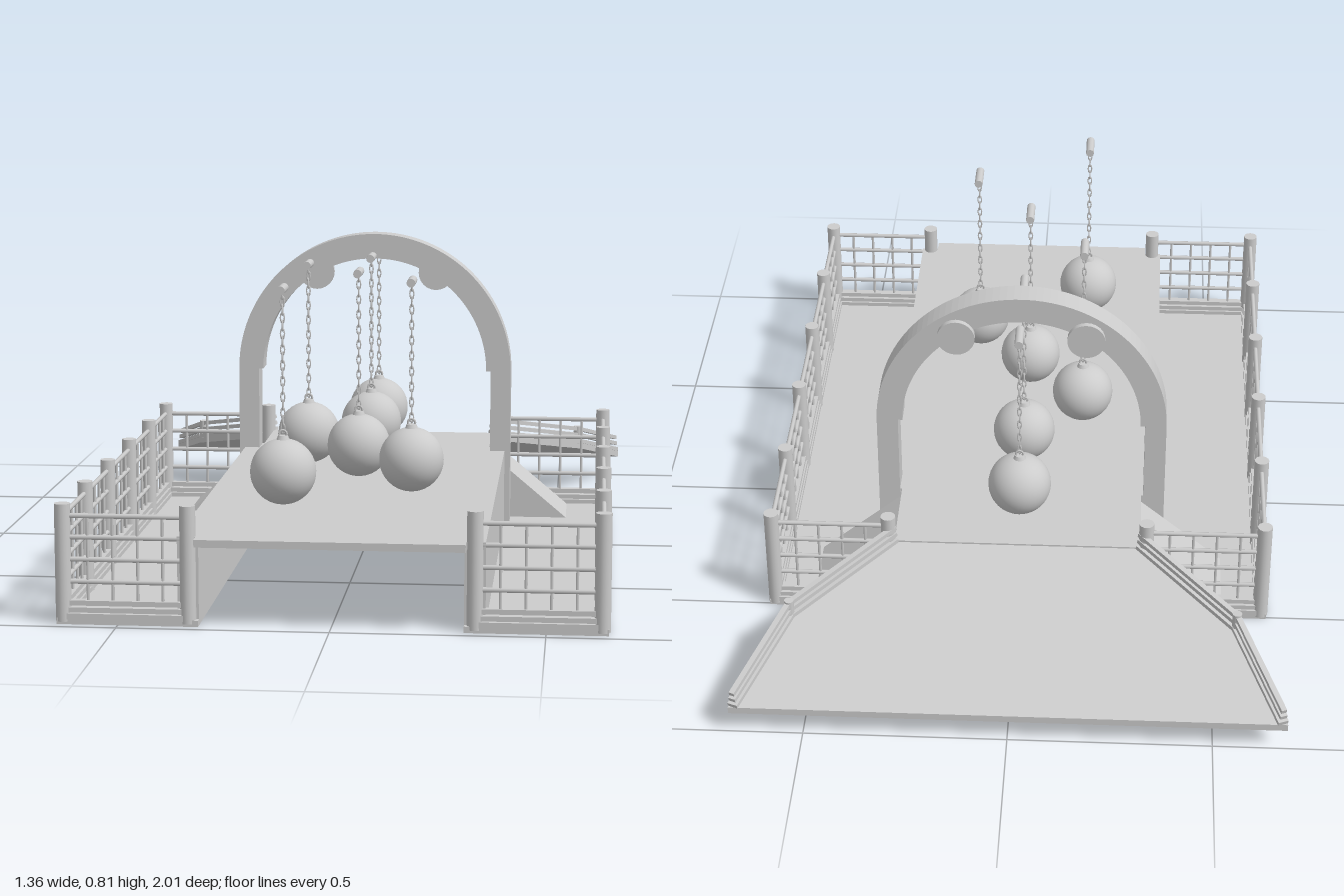
import * as THREE from 'three';

const mat = new THREE.MeshStandardMaterial({ color: 0xcccccc, side: THREE.DoubleSide });

export function createModel() {
  const root = new THREE.Group();

  const add = (parent, name, geo, x = 0, y = 0, z = 0) => {
    const m = new THREE.Mesh(geo, mat);
    m.name = name;
    m.position.set(x, y, z);
    parent.add(m);
    return m;
  };
  // Box given by its min and max on each axis
  const box = (parent, name, x0, x1, y0, y1, z0, z1) =>
    add(parent, name, new THREE.BoxGeometry(Math.abs(x1 - x0), y1 - y0, z1 - z0),
      (x0 + x1) / 2, (y0 + y1) / 2, (z0 + z1) / 2);
  // Rectangular beam between two points
  const beam = (parent, name, a, b, w, h) => {
    const p = new THREE.Vector3(...a), q = new THREE.Vector3(...b);
    const m = add(parent, name, new THREE.BoxGeometry(w, h, p.distanceTo(q)));
    m.position.copy(p).lerp(q, 0.5);
    m.lookAt(q);
    return m;
  };
  const group = (name) => {
    const g = new THREE.Group();
    g.name = name;
    root.add(g);
    return g;
  };

  // Bridge deck with a lip at the front
  box(root, 'deck', -0.36, 0.36, 0.195, 0.213, -0.27, 0.965);
  box(root, 'deckBack', -0.315, 0.315, 0.195, 0.213, -0.495, -0.27);
  box(root, 'deckLip', -0.315, 0.315, 0.195, 0.213, 0.965, 1.0);

  // Fence panel: curb, round rails and uprights between two ground points
  const fencePanel = (parent, x0, z0, x1, z1) => {
    const length = Math.hypot(x1 - x0, z1 - z0);
    const panel = new THREE.Group();
    panel.name = 'fencePanel';
    panel.position.set((x0 + x1) / 2, 0, (z0 + z1) / 2);
    panel.rotation.y = Math.abs(x1 - x0) > Math.abs(z1 - z0) ? 0 : Math.PI / 2;
    parent.add(panel);
    [[0.012, 0.026, 0.032], [0.028, 0.04, 0.026], [0.044, 0.056, 0.02]].forEach(([y0, y1, w]) =>
      box(panel, 'curb', -length / 2, length / 2, y0, y1, -w / 2, w / 2));
    for (const y of [0.1, 0.153, 0.206, 0.257]) {
      add(panel, 'rail', new THREE.CylinderGeometry(0.006, 0.006, length, 8), 0, y).rotation.z = Math.PI / 2;
    }
    const n = Math.round(length / 0.055);
    for (let i = 1; i < n; i++) {
      add(panel, 'upright', new THREE.CylinderGeometry(0.004, 0.004, 0.215, 6), -length / 2 + i * length / n, 0.15, 0);
    }
  };

  const sideZ = [0.96, 0.69, 0.4, 0.1, -0.2, -0.49];
  for (const s of [1, -1]) {
    const side = group(s > 0 ? 'leftSide' : 'rightSide');
    // Low side floor and the wall carrying the deck
    box(side, 'sideFloor', s * 0.31, s * 0.645, 0, 0.015, -0.505, 0.975);
    box(side, 'deckWall', s * 0.31, s * 0.36, 0.01, 0.197, -0.27, 0.96);

    // Sloping wedge beside the deck, behind the arch
    const wedge = new THREE.Shape([[0.31, 0.015], [0.53, 0.015], [0.31, 0.2]].map(([x, y]) => new THREE.Vector2(s * x, y)));
    add(side, 'sideWedge', new THREE.ExtrudeGeometry(wedge, { depth: 0.195, bevelEnabled: false }), 0, 0, -0.47);

    // Fence posts and panels
    const posts = [[0.335, 0.96], ...sideZ.map((z) => [0.63, z]), [0.33, -0.49]];
    posts.forEach(([x, z], i) => {
      add(side, 'post', new THREE.CylinderGeometry(0.019, 0.019, 0.28, 16), s * x, 0.146, z);
      if (i) fencePanel(side, s * posts[i - 1][0], posts[i - 1][1], s * x, z);
    });
  }

  // Flared entry ramp, sheared down towards the back
  const rampY = (z) => 0.21 + (z + 0.49) * 0.265;
  const edge = [[0.325, -0.49], [0.57, -0.73], [0.68, -1.0]];
  const outline = [...edge, ...edge.map(([x, z]) => [-x, z]).reverse()];
  const rampGeo = new THREE.ExtrudeGeometry(
    new THREE.Shape(outline.map(([x, z]) => new THREE.Vector2(x, -z))), { depth: 0.018, bevelEnabled: false });
  rampGeo.rotateX(-Math.PI / 2);
  const pos = rampGeo.attributes.position;
  for (let i = 0; i < pos.count; i++) pos.setY(i, pos.getY(i) - 0.018 + rampY(pos.getZ(i)));
  rampGeo.computeVertexNormals();
  const ramp = group('ramp');
  add(ramp, 'rampFloor', rampGeo);
  for (const s of [1, -1]) {
    for (let i = 0; i < 2; i++) {
      for (const [h, w] of [[0.006, 0.026], [0.024, 0.018], [0.042, 0.014]]) {
        const at = ([x, z]) => [s * (x - 0.012), rampY(z) + h, z];
        beam(ramp, 'rampRail', at(edge[i]), at(edge[i + 1]), w, 0.011);
      }
    }
    add(ramp, 'rampPost', new THREE.CylinderGeometry(0.012, 0.012, 0.05, 12), s * 0.558, rampY(-0.73) + 0.025, -0.73);
  }

  // Arch with straight legs and a slightly thicker curved top
  const arch = group('arch');
  const curve = new THREE.Shape();
  curve.absarc(0, 0.435, 0.375, 0, Math.PI, false);
  curve.absarc(0, 0.435, 0.308, Math.PI, 0, true);
  add(arch, 'archTop', new THREE.ExtrudeGeometry(curve, { depth: 0.067, bevelEnabled: false, curveSegments: 32 }), 0, 0, -0.272);
  for (const s of [1, -1]) {
    box(arch, 'archLeg', s * 0.32, s * 0.375, 0.01, 0.436, -0.272, -0.205);
    add(arch, 'archDisc', new THREE.CylinderGeometry(0.048, 0.048, 0.016, 24), s * 0.165, 0.698, -0.278).rotation.x = Math.PI / 2;
  }

  // Balls hanging on chains from short bars
  const ballSpots = [[0, -0.36], [0, -0.115], [-0.15, 0.075], [0, 0.255], [0.15, 0.445], [-0.15, 0.635]];
  const ballGeo = new THREE.SphereGeometry(0.081, 32, 20);
  const linkGeo = new THREE.TorusGeometry(0.005, 0.0018, 5, 8).scale(1, 2.3, 1);
  for (const [x, z] of ballSpots) {
    const g = group('hangingBall');
    g.position.set(x, 0, z);
    add(g, 'ball', ballGeo, 0, 0.308, 0);
    add(g, 'ballCap', new THREE.CylinderGeometry(0.012, 0.018, 0.014, 12), 0, 0.39, 0);
    add(g, 'ballEye', new THREE.TorusGeometry(0.009, 0.003, 6, 12), 0, 0.401, 0);
    for (let i = 0; i < 18; i++) {
      add(g, 'chainLink', linkGeo, 0, 0.414 + i * 0.0194, 0).rotation.y = (i % 2) * Math.PI / 2;
    }
    add(g, 'hangerBar', new THREE.CylinderGeometry(0.011, 0.011, 0.076, 12), 0, 0.755, 0).rotation.x = Math.PI / 2;
  }

  return root;
}
